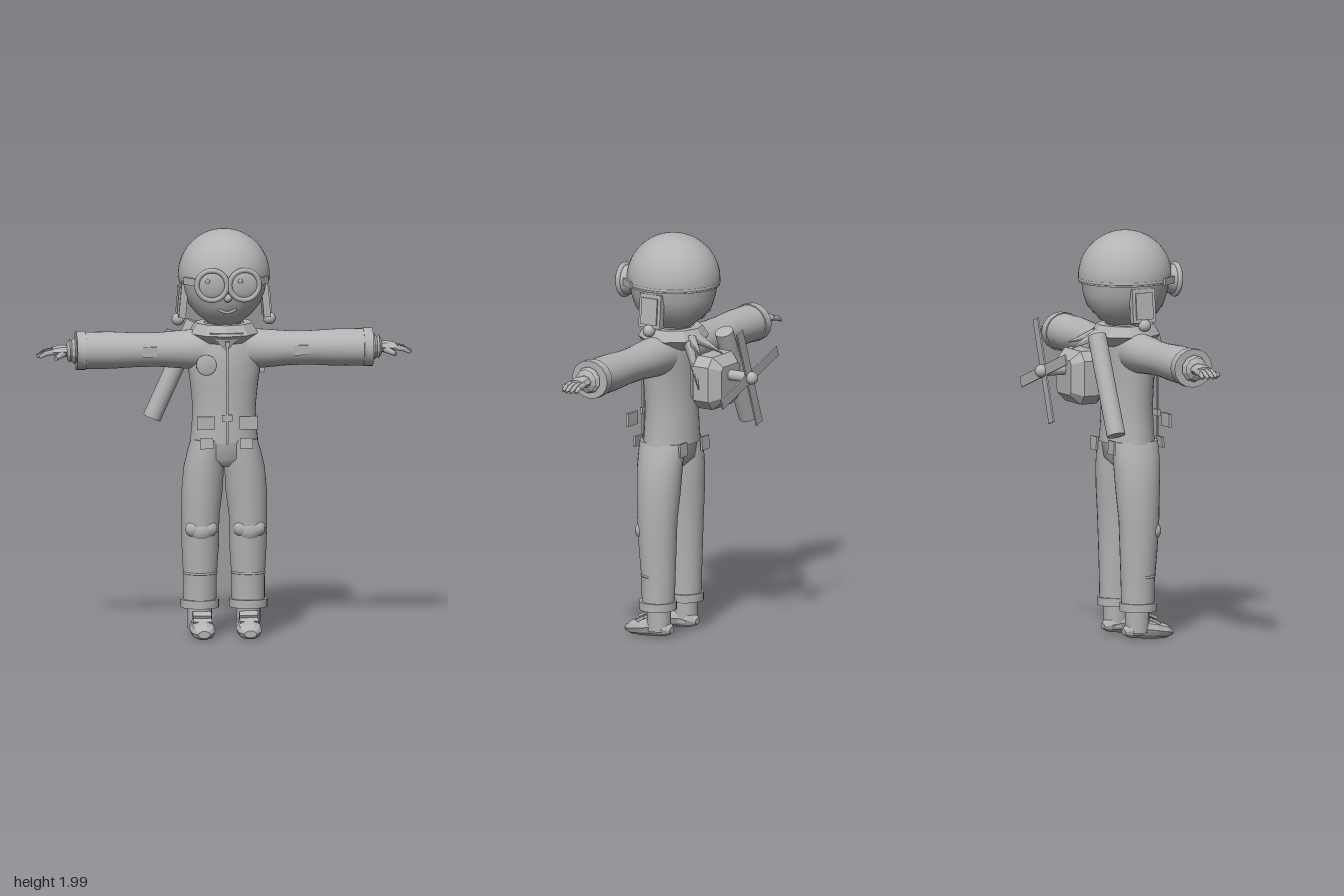
import * as THREE from 'three';

const grey = new THREE.MeshStandardMaterial({ color: 0xb3b3b3, side: THREE.DoubleSide });
grey.name = 'plain grey';

// Faceted normals for the low-poly parts
function faceted(geo) {
  const g = geo.index ? geo.toNonIndexed() : geo;
  g.computeVertexNormals();
  return g;
}

// Closed skin through elliptical sections [y, cx, cz, rx, rz], bottom to top
function loft(sections, n = 28) {
  const a = sections[0], b = sections[sections.length - 1];
  const rings = [[a[0], a[1], a[2], 0, 0], a, ...sections, b, [b[0], b[1], b[2], 0, 0]];
  const pos = [], idx = [];
  rings.forEach(([y, cx, cz, rx, rz], j) => {
    for (let i = 0; i < n; i++) {
      const t = (i / n) * Math.PI * 2;
      pos.push(cx + rx * Math.cos(t), y, cz + rz * Math.sin(t));
      if (j === rings.length - 1) continue;
      const p = j * n + i, q = j * n + (i + 1) % n;
      idx.push(p, p + n, q, q, p + n, q + n);
    }
  });
  const g = new THREE.BufferGeometry();
  g.setAttribute('position', new THREE.Float32BufferAttribute(pos, 3));
  g.setIndex(idx);
  g.computeVertexNormals();
  return g;
}

const box = (w, h, d) => new THREE.BoxGeometry(w, h, d);
const ball = (r, n = 16) => new THREE.SphereGeometry(r, n, Math.ceil(n * 0.7));

export function createModel() {
  const model = new THREE.Group();
  model.name = 'pilot';

  function add(name, geo, p = [0, 0, 0], r = [0, 0, 0], s = [1, 1, 1], parent = model) {
    const m = new THREE.Mesh(geo, grey);
    m.name = name;
    m.position.set(...p);
    m.rotation.set(...r);
    m.scale.set(...s);
    parent.add(m);
    return m;
  }
  // Round bar between two points
  function bar(name, a, b, r0, r1, n = 8) {
    const A = new THREE.Vector3(...a), B = new THREE.Vector3(...b);
    const m = add(name, new THREE.CylinderGeometry(r1, r0, A.distanceTo(B), n));
    m.position.copy(A).add(B).multiplyScalar(0.5);
    m.quaternion.setFromUnitVectors(new THREE.Vector3(0, 1, 0), B.sub(A).normalize());
    return m;
  }

  // Head and helmet
  add('face', loft([
    [1.535, 0, 0.12, 0.05, 0.07], [1.55, 0, 0.12, 0.085, 0.1], [1.59, 0, 0.12, 0.135, 0.15],
    [1.64, 0, 0.115, 0.175, 0.19], [1.7, 0, 0.115, 0.2, 0.207], [1.77, 0, 0.115, 0.213, 0.215],
  ], 36));
  add('helmet', new THREE.SphereGeometry(0.222, 40, 24, 0, Math.PI * 2, 0, Math.PI * 0.54),
    [0, 1.778, 0.115], [0, 0, 0], [1, 1, 1.03]);
  add('helmetRim', new THREE.TorusGeometry(0.215, 0.009, 8, 40), [0, 1.765, 0.115], [Math.PI / 2, 0, 0], [1, 1.03, 1]);
  add('nose', ball(0.02, 12), [0, 1.69, 0.325]);
  const smile = new THREE.CatmullRomCurve3([[-0.045, 1.63, 0.292], [0, 1.615, 0.295], [0.045, 1.63, 0.292]]
    .map((v) => new THREE.Vector3(...v)));
  add('mouth', new THREE.TubeGeometry(smile, 10, 0.007, 6));
  add('goggleBridge', box(0.04, 0.018, 0.02), [0, 1.765, 0.345]);

  // Jacket body, hips and collar
  add('jacket', loft([
    [0.97, 0, 0.125, 0.165, 0.127], [1.05, 0, 0.125, 0.157, 0.122], [1.15, 0, 0.125, 0.155, 0.118],
    [1.25, 0, 0.13, 0.165, 0.115], [1.35, 0, 0.13, 0.18, 0.117], [1.44, 0, 0.125, 0.19, 0.112],
    [1.49, 0, 0.12, 0.17, 0.1], [1.52, 0, 0.12, 0.1, 0.08],
  ]));
  add('hips', loft([
    [0.85, 0, 0.13, 0.06, 0.07], [0.89, 0, 0.13, 0.14, 0.112], [0.98, 0, 0.127, 0.158, 0.122],
  ]));
  add('neck', new THREE.CylinderGeometry(0.08, 0.09, 0.1, 20), [0, 1.52, 0.12]);
  const collar = [[0.11, 1.44], [0.135, 1.455], [0.172, 1.495], [0.14, 1.545], [0.1, 1.545], [0.09, 1.48]];
  add('collar', faceted(new THREE.LatheGeometry(collar.map((v) => new THREE.Vector2(...v)), 10)), [0, 0, 0.115]);
  add('collarPoint', faceted(new THREE.ConeGeometry(0.07, 0.09, 4)), [0, 1.465, 0.255], [Math.PI, 0, 0], [1.2, 1, 0.35]);
  bar('scarfTail', [0.05, 1.5, -0.02], [0.13, 1.45, -0.13], 0.03, 0.002, 5);
  bar('scarfTail', [0.01, 1.5, -0.03], [0, 1.44, -0.17], 0.03, 0.002, 5);
  bar('scarfTail', [0.07, 1.49, -0.02], [0.14, 1.28, -0.125], 0.03, 0.002, 5);

  // Front fittings
  add('zipper', box(0.012, 0.5, 0.008), [0, 1.22, 0.293]);
  add('zipPull', box(0.02, 0.025, 0.012), [0, 1.46, 0.295]);
  add('buckle', box(0.05, 0.032, 0.015), [0, 1.098, 0.287]);
  const gauge = [[0, -0.02], [0.04, -0.02], [0.05, -0.01], [0.05, 0.012], [0.042, 0.022], [0, 0.022]];
  add('chestGauge', new THREE.LatheGeometry(gauge.map((v) => new THREE.Vector2(...v)), 24),
    [-0.105, 1.365, 0.33], [Math.PI / 2, 0, 0]);

  // Backpack: box with chamfered rims, motor shaft and propeller
  const pack = new THREE.Shape([[-0.085, -0.13], [0.085, -0.13], [0.125, -0.085], [0.125, 0.085],
    [0.085, 0.13], [-0.085, 0.13], [-0.125, 0.085], [-0.125, -0.085]].map((v) => new THREE.Vector2(...v)));
  add('backpack', faceted(new THREE.ExtrudeGeometry(pack, {
    depth: 0.085, bevelEnabled: true, bevelThickness: 0.05, bevelSize: 0.045, bevelOffset: -0.045, bevelSegments: 1,
  })), [0, 1.305, -0.167]);
  bar('motorShaft', [0, 1.34, -0.2], [0, 1.34, -0.33], 0.026, 0.026, 16);
  add('propellerHub', ball(0.032), [0, 1.34, -0.338]);
  for (const turn of [0, Math.PI / 2]) {
    add('propellerBlade', box(0.515, 0.052, 0.008), [0, 1.34, -0.325], [0, 0, -0.34 + turn]);
  }
  bar('flareTube', [-0.33, 1.05, -0.098], [-0.12, 1.515, -0.098], 0.045, 0.045, 24);

  for (const s of [1, -1]) {
    // Goggles
    const goggle = new THREE.Group();
    goggle.name = 'goggle';
    goggle.position.set(s * 0.078, 1.757, 0.332);
    goggle.rotation.set(0.06, s * 0.08, 0);
    model.add(goggle);
    add('goggleRim', new THREE.TorusGeometry(0.073, 0.013, 10, 32), [0, 0, 0.012], [0, 0, 0], [1, 1, 1], goggle);
    add('goggleCup', new THREE.CylinderGeometry(0.075, 0.065, 0.05, 32), [0, 0, -0.016], [Math.PI / 2, 0, 0], [1, 1, 1], goggle);
    add('lens', ball(0.068, 24), [0, 0, 0.008], [0, 0, 0], [1, 1, 0.25], goggle);
    add('lensGlint', ball(0.012, 10), [-0.022, 0.022, 0.024], [0, 0, 0], [1, 1, 0.3], goggle);
    add('goggleStrap', box(0.09, 0.035, 0.012), [s * 0.175, 1.765, 0.265], [0, s * 0.95, 0]);

    // Ear flaps
    add('earFlap', box(0.034, 0.165, 0.122), [s * 0.2, 1.655, 0.11], [0, 0, s * 0.09]);
    add('earPad', box(0.02, 0.13, 0.09), [s * 0.215, 1.655, 0.11], [0, 0, s * 0.09]);
    add('earBobble', ball(0.031), [s * 0.222, 1.56, 0.11]);

    // Sleeve along x, with cuff and wrist
    const arm = new THREE.Group();
    arm.name = 'arm';
    arm.position.set(0, 1.415, 0.125);
    arm.rotation.z = -s * Math.PI / 2;
    model.add(arm);
    add('sleeve', loft([
      [0.08, 0, 0, 0.1, 0.095], [0.2, 0, 0, 0.093, 0.1], [0.32, 0, 0, 0.083, 0.092], [0.42, 0, 0, 0.083, 0.088],
      [0.55, 0, 0, 0.09, 0.095], [0.68, 0, 0, 0.09, 0.095],
    ]), [0, 0, 0], [0, 0, 0], [1, 1, 1], arm);
    add('sleeveCuff', loft([[0.675, 0, 0, 0.095, 0.102], [0.72, 0, 0, 0.094, 0.102]], 16), [0, 0, 0], [0, 0, 0], [1, 1, 1], arm);
    add('gloveCuff', faceted(loft([
      [0.71, 0, 0, 0.055, 0.055], [0.728, 0, 0, 0.066, 0.066], [0.742, 0, 0, 0.05, 0.05],
      [0.752, 0, 0, 0.058, 0.058], [0.765, 0, 0, 0.035, 0.038],
    ], 10)), [0, 0, 0], [0, 0, 0], [1, 1, 1], arm);
    add('sleevePocket', box(0.068, 0.048, 0.012), [s * 0.368, 1.415, 0.212]);

    // Hand
    add('palm', faceted(loft([
      [0.75, 0, 0, 0.026, 0.034], [0.79, 0, 0, 0.03, 0.048], [0.835, 0, 0, 0.02, 0.05],
    ], 8)), [0, 0, 0], [0, 0, 0], [1, 1, 1], arm);
    [0.088, 0.112, 0.137, 0.16].forEach((z, i) => {
      const tip = 0.9 + (i === 1 || i === 2 ? 0.01 : 0);
      bar('finger', [s * 0.825, 1.415, z], [s * 0.87, 1.407, z], 0.014, 0.013, 6);
      bar('fingertip', [s * 0.865, 1.409, z], [s * tip, 1.39, z], 0.013, 0.008, 6);
    });
    bar('thumb', [s * 0.785, 1.405, 0.155], [s * 0.825, 1.39, 0.215], 0.018, 0.01, 6);

    // Pocket plates around the waist
    add('pocket', box(0.086, 0.065, 0.015), [s * 0.103, 1.075, 0.288]);
    add('beltPouch', box(0.064, 0.052, 0.012), [s * 0.097, 0.97, 0.257], [-0.1, 0, 0]);
    add('rearPouch', box(0.064, 0.066, 0.01), [s * 0.095, 0.955, -0.004], [0.06, 0, 0]);

    // Trouser leg with cuff, knee pad and shin seam
    add('trouserLeg', loft([
      [0.17, s * 0.118, 0.125, 0.08, 0.08], [0.3, s * 0.117, 0.125, 0.081, 0.083], [0.45, s * 0.116, 0.13, 0.09, 0.092],
      [0.6, s * 0.116, 0.132, 0.093, 0.1], [0.72, s * 0.108, 0.13, 0.1, 0.108], [0.84, s * 0.099, 0.13, 0.098, 0.116],
      [0.92, s * 0.088, 0.13, 0.09, 0.118], [0.98, s * 0.075, 0.13, 0.085, 0.118],
    ]));
    add('trouserCuff', loft([[0.155, s * 0.118, 0.127, 0.093, 0.092], [0.195, s * 0.118, 0.127, 0.093, 0.092]], 20));
    add('kneePad', ball(0.062), [s * 0.117, 0.535, 0.193], [0, 0, 0], [0.95, 0.9, 0.68]);
    for (const k of [-1, 1]) {
      add('kneePadLobe', ball(0.045), [s * 0.117 + k * 0.035, 0.545, 0.193], [0, 0, 0], [0.95, 0.95, 0.8]);
    }
    add('shinSeam', new THREE.TorusGeometry(0.08, 0.006, 6, 20, Math.PI), [s * 0.117, 0.325, 0.127], [Math.PI / 2, 0, 0]);

    // Boot
    add('ankle', new THREE.CylinderGeometry(0.06, 0.058, 0.12, 16), [s * 0.118, 0.11, 0.122]);
    const shoe = loft([
      [-0.13, 0, 0.005, 0.02, 0.015], [-0.1, 0, 0.012, 0.048, 0.038], [-0.05, 0, 0.02, 0.056, 0.052],
      [0.03, 0, 0.008, 0.063, 0.046], [0.09, 0, -0.002, 0.056, 0.036], [0.125, 0, -0.008, 0.03, 0.018],
    ], 10);
    shoe.rotateX(Math.PI / 2).scale(1, -1, 1);
    shoe.setIndex(Array.from(shoe.index.array).reverse());
    add('shoe', faceted(shoe), [s * 0.113, 0.05, 0.18], [0, 0, 0], [1, -1, 1].map(Math.abs));
    add('shoeStrap', box(0.09, 0.014, 0.05), [s * 0.113, 0.1, 0.205], [0.45, 0, 0]);
    add('shoeStrap', box(0.09, 0.014, 0.04), [s * 0.113, 0.125, 0.195], [0.45, 0, 0]);
  }
  return model;
}
